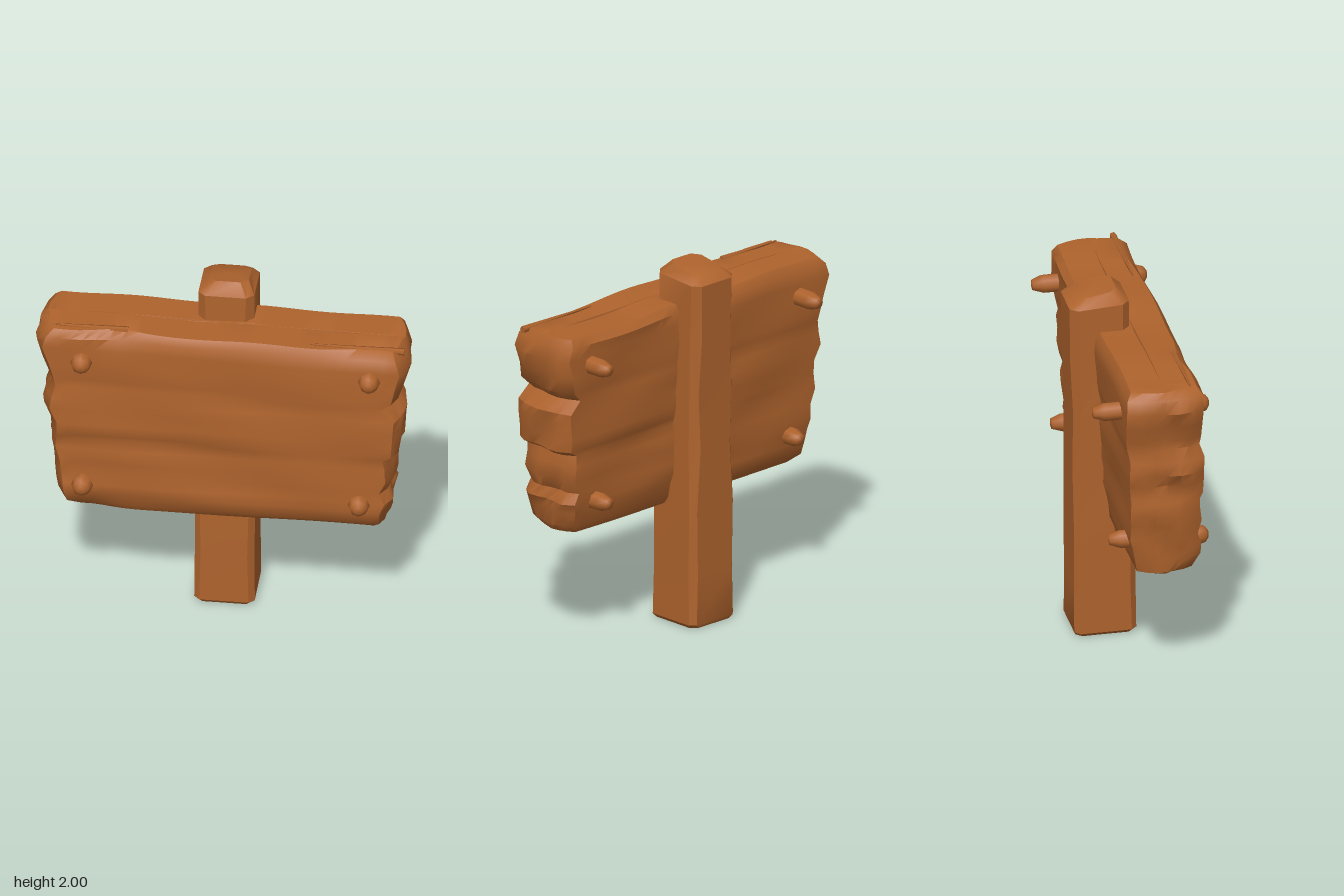
import * as THREE from 'three';
import { toCreasedNormals } from 'three/addons/utils/BufferGeometryUtils.js';

// Skin a stack of equal-length rings (front edge runs toward +x) and close both ends
function loft(rings, crease) {
  const n = rings[0].length, pos = [], idx = [];
  rings.forEach(r => r.forEach(p => pos.push(...p)));
  for (let j = 0; j < rings.length - 1; j++) {
    for (let i = 0; i < n; i++) {
      const a = j * n + i, b = j * n + (i + 1) % n;
      idx.push(a, b, b + n, a, b + n, a + n);
    }
  }
  [0, rings.length - 1].forEach(j => {
    const c = [0, 1, 2].map(k => rings[j].reduce((s, p) => s + p[k], 0) / n);
    const m = pos.length / 3;
    pos.push(...c);
    for (let i = 0; i < n; i++) {
      const a = j * n + i, b = j * n + (i + 1) % n;
      if (j) idx.push(a, b, m); else idx.push(b, a, m);
    }
  });
  const g = new THREE.BufferGeometry();
  g.setAttribute('position', new THREE.Float32BufferAttribute(pos, 3));
  g.setIndex(idx);
  return toCreasedNormals(g, crease);
}

// A soft bump of width (rx, ry) around a point, used for chips in the wood
const bump = (x, y, cx, cy, rx, ry) => Math.exp(-(((x - cx) / rx) ** 2) - ((y - cy) / ry) ** 2);

// Board outline by height: y, left edge, right edge, front z, back z
const BOARD = [
  [0.66, -0.80, 0.86, 0.19, -0.06], [0.70, -0.87, 0.89, 0.225, -0.09],
  [0.78, -0.885, 0.895, 0.245, -0.11], [0.84, -0.89, 0.92, 0.25, -0.12],
  [0.90, -0.90, 0.89, 0.24, -0.125], [0.98, -0.905, 0.925, 0.25, -0.13],
  [1.06, -0.93, 0.92, 0.245, -0.13], [1.12, -0.925, 0.91, 0.24, -0.13],
  [1.15, -0.92, 0.955, 0.25, -0.14], [1.22, -0.92, 0.96, 0.255, -0.145],
  [1.30, -0.96, 0.965, 0.25, -0.15], [1.37, -0.95, 0.97, 0.25, -0.15],
  [1.44, -0.93, 0.905, 0.24, -0.15], [1.49, -0.94, 0.955, 0.245, -0.16],
  [1.58, -0.965, 0.975, 0.245, -0.165], [1.68, -1.0, 1.0, 0.245, -0.17],
  [1.75, -0.98, 0.98, 0.24, -0.17], [1.79, -0.94, 0.96, 0.215, -0.14],
];

function boardRing([y, L, R, F, B]) {
  const cols = 28, ends = 6, corner = 0.05, ring = [];
  const mid = (F + B) / 2, half = (F - B) / 2;
  const add = (x, z, face) => {
    // grain ripples run along the board, chips bite into the front edges
    let dz = 0.006 * Math.sin(y * 34 + 1.5 * Math.sin(x * 3)) + 0.004 * Math.sin(x * 7 + y * 11);
    if (face > 0) {
      dz -= 0.04 * bump(x, y, -0.72, 0.67, 0.16, 0.05) + 0.03 * bump(x, y, -0.55, 1.79, 0.12, 0.05)
        + 0.03 * bump(x, y, 0.8, 1.79, 0.2, 0.03);
    }
    const rise = (y - 0.66) / 1.13;
    const dy = -0.017 * x * rise + 0.006 * Math.sin(x * 9) * rise ** 8;
    ring.push([x, y + dy, z + dz]);
  };
  const end = (edge, s) => {
    for (let k = 0; k <= ends; k++) {
      const t = s * (1 - 2 * k / ends);
      const wobble = (1 - t * t) * 0.014 * (1 + Math.sin(t * 4 + y * 17));
      add(edge - s * (corner * t ** 4 + wobble), mid + half * t, t);
    }
  };
  const face = (from, to, z, s) => {
    for (let i = 1; i < cols; i++) add(from + (to - from) * i / cols, z, s);
  };
  face(L + corner, R - corner, F, 1);
  end(R, 1);
  face(R - corner, L + corner, B, -1);
  end(L, -1);
  return ring;
}

function boardGeometry() {
  const rings = BOARD.map(boardRing);
  // flatten the end rings to their centre line for the top and bottom edges
  const fold = (row, ring) => ring.map(([x, y, z]) => [x, y, (row[3] + row[4]) / 2 + (z - (row[3] + row[4]) / 2) * 0.02]);
  rings.unshift(fold(BOARD[0], rings[0]));
  rings.push(fold(BOARD[BOARD.length - 1], rings[rings.length - 1]));
  return loft(rings, 0.75);
}

// Post section by height: y, left, right, front z, back z, corner bevel, backward drop
const POST = [
  [0, -0.15, 0.14, 0.04, -0.27, 0.03, 0],
  [0.02, -0.167, 0.155, 0.055, -0.28, 0.03, 0],
  [0.3, -0.165, 0.153, 0.052, -0.28, 0.035, 0],
  [0.65, -0.165, 0.155, 0.047, -0.282, 0.03, 0],
  [1.0, -0.155, 0.148, 0.04, -0.285, 0.045, 0],
  [1.3, -0.158, 0.15, 0.035, -0.283, 0.035, 0],
  [1.6, -0.15, 0.148, 0.025, -0.295, 0.045, 0],
  [1.94, -0.15, 0.147, 0.02, -0.3, 0.04, 0.02],
  [2.0, -0.1, 0.11, -0.04, -0.25, 0.04, 0.035],
];

function postRing([y, l, r, f, b, c, drop]) {
  const pts = [[l + c, f], [r - c, f], [r, f - c], [r, b + c], [r - c, b], [l + c, b], [l, b + c], [l, f - c]];
  return pts.map(([x, z]) => [x, y - drop * (f - z) / (f - b), z]);
}

// Wooden peg through the board: rounded head in front, blunt tip behind
function pegGeometry(back) {
  const profile = [[0, back], [0.03, back + 0.005], [0.05, back + 0.06], [0.052, 0.22],
    [0.058, 0.255], [0.045, 0.295], [0.02, 0.312], [0, 0.313]];
  const g = new THREE.LatheGeometry(profile.map(p => new THREE.Vector2(...p)), 8);
  g.rotateX(Math.PI / 2);
  return g;
}

export function createModel() {
  const model = new THREE.Group();
  model.name = 'woodenSign';
  const wood = new THREE.MeshStandardMaterial({ color: 0xae632d });
  wood.name = 'brown wood';
  const add = (name, geometry) => {
    const mesh = new THREE.Mesh(geometry, wood);
    mesh.name = name;
    model.add(mesh);
    return mesh;
  };

  add('board', boardGeometry());
  add('post', loft(POST.map(postRing), 0.6));

  // Pegs: x, y, back z, sideways lean
  [[-0.74, 1.62, -0.315, 0], [0.79, 1.62, -0.31, 0], [-0.715, 0.84, -0.22, -0.08], [0.72, 0.83, -0.225, 0.06]]
    .forEach(([x, y, back, lean]) => {
      const peg = add('peg', pegGeometry(back));
      peg.position.set(x, y, 0);
      peg.rotation.y = lean;
    });

  // Splinter wedge under the board beside the post
  const wedge = new THREE.Shape([[-0.34, 0.67], [-0.15, 0.58], [-0.15, 0.69]].map(p => new THREE.Vector2(...p)));
  const wedgeGeometry = new THREE.ExtrudeGeometry(wedge, { depth: 0.09, bevelEnabled: false });
  add('splinterWedge', wedgeGeometry.translate(0, 0, -0.07));

  // Raised splinters along the top front edge: x centre, length, z
  [[0.72, 0.5, 0.17], [-0.7, 0.4, 0.18]].forEach(([x, length, z]) => {
    const g = new THREE.CylinderGeometry(0.004, 0.02, length, 5).rotateZ(Math.PI / 2);
    const mesh = add('splinter', g);
    mesh.position.set(x, 1.79 - 0.017 * x, z);
    mesh.rotation.z = -0.017;
  });
  return model;
}
